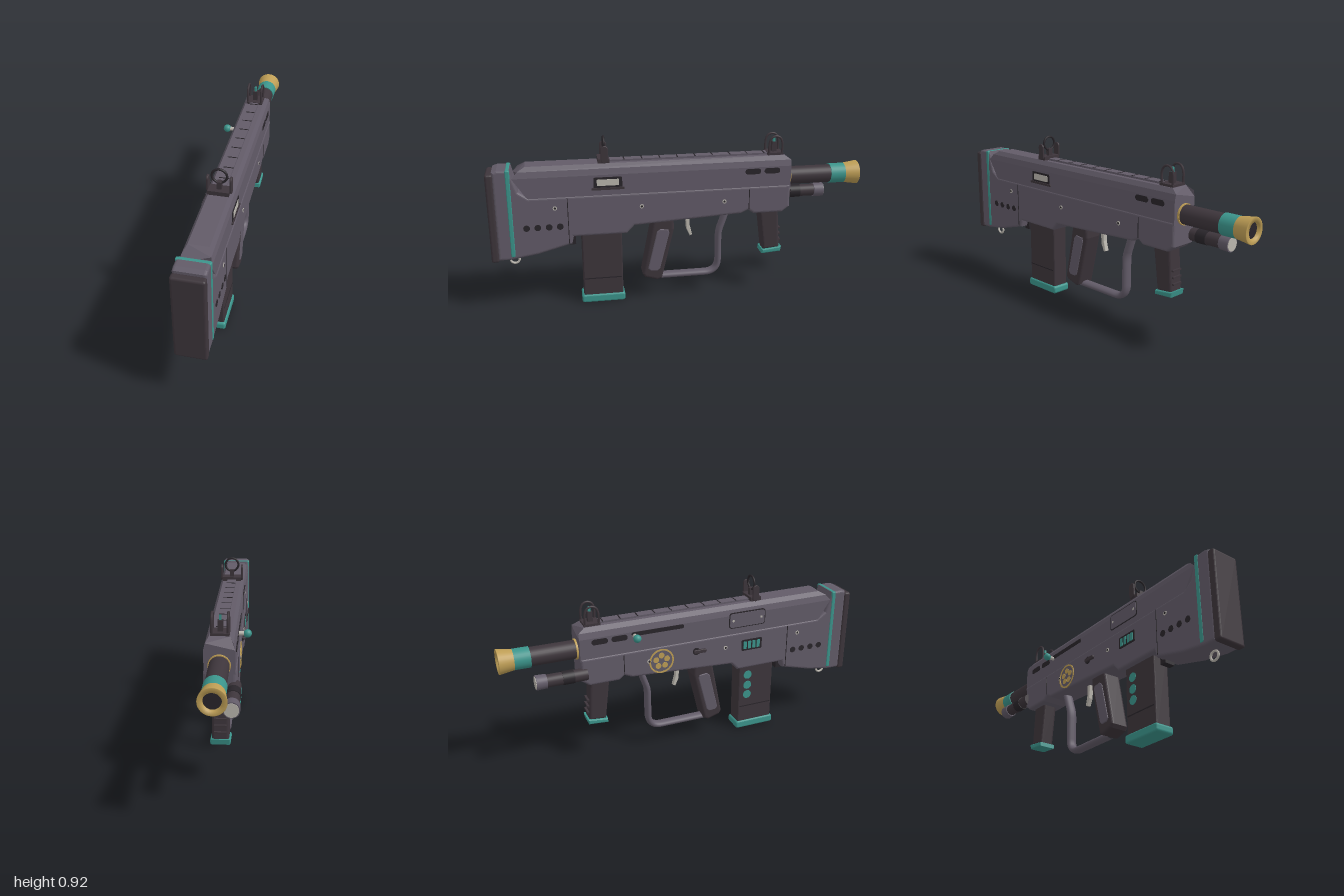
import * as THREE from 'three';

const mat = (name, color, extra = {}) => Object.assign(new THREE.MeshStandardMaterial({ color, ...extra }), { name });

export function createModel() {
  const shell = mat('shellGrey', 0x625b68);
  const dark = mat('darkGrip', 0x3d353b);
  const black = mat('recessBlack', 0x29252a);
  const teal = mat('tealAccent', 0x3b948b);
  const gold = mat('goldTrim', 0xbd9d55, { side: THREE.DoubleSide });
  const pale = mat('paleMetal', 0xbab6ae);

  const model = new THREE.Group();
  model.name = 'toyBlaster';
  const body = new THREE.Group();
  body.name = 'blaster';
  body.position.x = 0.03;
  model.add(body);

  const add = (name, geo, material, x = 0, y = 0, z = 0) => {
    const m = new THREE.Mesh(geo, material);
    m.name = name;
    m.position.set(x, y, z);
    body.add(m);
    return m;
  };
  // Outlines are drawn in (z, y) and given a width along x
  const poly = pts => new THREE.Shape(pts.map(p => new THREE.Vector2(...p)));
  const disc = (z, y, r) => new THREE.Shape().absarc(z, y, r, 0, Math.PI * 2);
  const pill = (z, y, w, h, r = Math.min(w, h) / 2 - 0.0005) => {
    const s = new THREE.Shape(), a = w / 2 - r, b = h / 2 - r, q = Math.PI / 2;
    s.absarc(z + a, y + b, r, 0, q);
    s.absarc(z - a, y + b, r, q, 2 * q);
    s.absarc(z - a, y - b, r, 2 * q, 3 * q);
    s.absarc(z + a, y - b, r, 3 * q, 4 * q);
    return s;
  };
  const slab = (name, shape, width, material, bevel = 0, x = 0) => {
    const geo = new THREE.ExtrudeGeometry(shape, {
      depth: width - 2 * bevel, bevelEnabled: bevel > 0, bevelThickness: bevel,
      bevelSize: bevel, bevelOffset: -bevel, bevelSegments: 4, curveSegments: 10,
    });
    geo.translate(0, 0, -width / 2 + bevel).rotateY(-Math.PI / 2);
    return add(name, geo, material, x);
  };
  const LOW = 0.078, UP = 0.074;
  const plate = (name, shape, material, side, half, lift = 0) =>
    slab(name, shape, 0.006, material, 0, side * (half + lift));
  const box = (name, w, h, d, material, x, y, z) => add(name, new THREE.BoxGeometry(w, h, d), material, x, y, z);
  const barrel = (name, rFront, rBack, zFront, zBack, material, x, y) =>
    add(name, new THREE.CylinderGeometry(rFront, rBack, zBack - zFront, 32).rotateX(-Math.PI / 2),
      material, x, y, (zFront + zBack) / 2);

  // Lower shell and stock
  slab('lowerShell', poly([[0.965, 0.29], [0.965, 0.77], [0.94, 0.777], [0.875, 0.775], [0.865, 0.735], [0.84, 0.66],
    [0.79, 0.625], [-0.6, 0.625], [-0.6, 0.5], [-0.56, 0.47], [-0.4, 0.47], [-0.37, 0.492], [-0.33, 0.474],
    [0.25, 0.442], [0.29, 0.4], [0.57, 0.4], [0.58, 0.36], [0.76, 0.312], [0.9, 0.29]]), LOW * 2, shell, 0.014);

  // Upper cover: one cross-section run along z with shaped ends
  const half = [[UP, 0.61], [UP, 0.73], [0.066, 0.762], [0.05, 0.785]];
  const cover = new THREE.ExtrudeGeometry(poly([...half, ...half.slice().reverse().map(([x, y]) => [-x, y])]),
    { depth: 1, bevelEnabled: false });
  const pos = cover.attributes.position;
  for (let i = 0; i < pos.count; i++) {
    const y = pos.getY(i), top = y > 0.78, mid = y > 0.75;
    const back = top ? 0.8 : mid ? 0.84 : y > 0.7 ? 0.868 : 0.79;
    pos.setZ(i, pos.getZ(i) > 0.5 ? back : top ? -0.565 : -0.6);
  }
  cover.computeVertexNormals();
  add('upperCover', cover, shell);

  // Butt pad and stock band
  slab('buttPad', pill(0.98, 0.52, 0.04, 0.478, 0.012), 0.16, dark, 0.012);
  slab('stockBand', pill(0.887, 0.542, 0.024, 0.47, 0.008), 0.162, teal, 0.006);
  add('slingRing', new THREE.TorusGeometry(0.024, 0.006, 10, 24).rotateY(Math.PI / 2), pale, 0, 0.266, 0.885);

  // Details shared by both sides
  for (const s of [-1, 1]) {
    for (const z of [-0.39, -0.495]) plate('vent', pill(z, 0.708, 0.085, 0.03), black, s, UP);
    for (const z of [0.81, 0.753, 0.695, 0.638]) plate('stockHole', disc(z, 0.463, 0.017), black, s, LOW);
    for (const [z, y] of [[0.66, 0.565], [0.21, 0.55], [-0.235, 0.55]]) {
      plate('screwHead', disc(z, y, 0.011), pale, s, LOW);
      plate('screwSlot', disc(z, y, 0.006), black, s, LOW, 0.001);
    }
    plate('stockSeam', pill(0.595, 0.49, 0.004, 0.25), black, s, LOW, -0.0015);
    plate('frontSeam', pill(-0.372, 0.555, 0.004, 0.11), black, s, LOW, -0.0015);
  }

  // Ejection port on the left
  plate('portFrame', pill(0.383, 0.687, 0.148, 0.062, 0.008), black, 1, UP);
  plate('portCover', pill(0.383, 0.69, 0.115, 0.034, 0.004), pale, 1, UP, 0.002);
  slab('portLip', pill(0.383, 0.657, 0.17, 0.012, 0.004), 0.01, dark, 0, UP + 0.003);

  // Cocking slot, knob, hatch, display and selector on the right
  plate('cockingSlot', pill(-0.18, 0.718, 0.29, 0.022), black, -1, UP);
  add('cockingRod', new THREE.CylinderGeometry(0.011, 0.011, 0.06, 16).rotateZ(Math.PI / 2), pale, -0.09, 0.71, -0.31);
  add('cockingKnob', new THREE.SphereGeometry(0.021, 24, 16), teal, -0.119, 0.71, -0.31);
  plate('hatchEdge', pill(0.34, 0.7, 0.22, 0.09, 0.018), black, -1, UP, -0.001);
  plate('hatch', pill(0.34, 0.7, 0.21, 0.08, 0.015), shell, -1, UP, 0.001);
  for (const z of [0.255, 0.425]) plate('hatchScrew', disc(z, 0.7, 0.007), pale, -1, UP, 0.002);
  plate('displayFrame', pill(0.37, 0.545, 0.125, 0.065, 0.008), black, -1, LOW);
  for (let i = 0; i < 4; i++) plate('displayBar', pill(0.329 + i * 0.027, 0.545, 0.019, 0.045, 0.003), teal, -1, LOW, 0.002);
  plate('selectorHub', disc(0.035, 0.56, 0.02), black, -1, LOW, 0.002);
  slab('selectorLever', pill(0.055, 0.56, 0.075, 0.02), 0.014, dark, 0.003, -LOW - 0.006);

  // Round gold ornament
  const rim = disc(-0.165, 0.54, 0.07);
  rim.holes.push(disc(-0.165, 0.54, 0.061));
  plate('ornamentRim', rim, gold, -1, LOW);
  for (let i = 0; i < 5; i++) {
    const a = Math.PI / 2 + i * Math.PI * 0.4;
    plate('ornamentPetal', disc(-0.165 + 0.032 * Math.cos(a), 0.54 + 0.032 * Math.sin(a), 0.016), gold, -1, LOW);
  }

  // Barrel and muzzle
  const by = 0.655;
  barrel('barrelCollar', 0.054, 0.054, -0.61, -0.59, gold, 0, by);
  barrel('barrel', 0.049, 0.049, -0.85, -0.6, dark, 0, by);
  barrel('barrelBand', 0.054, 0.054, -0.93, -0.84, teal, 0, by);
  const flare = [[0.053, 0.915], [0.055, 0.93], [0.065, 0.998], [0.063, 1], [0.042, 1], [0.038, 0.97]];
  add('muzzle', new THREE.LatheGeometry(flare.map(p => new THREE.Vector2(...p)), 32).rotateX(-Math.PI / 2), gold, 0, by);
  barrel('bore', 0.042, 0.042, -0.985, -0.9, black, 0, by);

  // Side lamp
  barrel('lampBody', 0.033, 0.033, -0.79, -0.57, dark, -0.07, 0.54);
  barrel('lampCollar', 0.036, 0.036, -0.7, -0.64, black, -0.07, 0.54);
  barrel('lampHead', 0.039, 0.037, -0.835, -0.78, shell, -0.07, 0.54);
  barrel('lampLens', 0.034, 0.034, -0.838, -0.83, pale, -0.07, 0.54);

  // Front grip
  slab('frontGrip', poly([[-0.44, 0.49], [-0.548, 0.49], [-0.565, 0.245], [-0.472, 0.24]]), 0.085, dark, 0.014);
  for (const y of [0.29, 0.325, 0.36]) box('gripRidge', 0.06, 0.009, 0.03, dark, 0, y, -0.553 - (0.36 - y) * 0.07);
  slab('frontGripCap', poly([[-0.463, 0.218], [-0.465, 0.242], [-0.575, 0.255], [-0.57, 0.226]]), 0.1, teal, 0.008);

  // Pistol grip, bow guard and trigger
  slab('pistolGrip', poly([[0.145, 0.46], [0.035, 0.46], [0.032, 0.4], [0.1, 0.115], [0.125, 0.104],
    [0.195, 0.125], [0.207, 0.145]]), 0.108, dark, 0.015);
  slab('gripPanel', poly([[0.128, 0.39], [0.11, 0.405], [0.065, 0.4], [0.06, 0.38], [0.112, 0.175], [0.128, 0.162],
    [0.165, 0.165], [0.178, 0.18]]), 0.118, shell, 0.005);
  const V = (z, y) => new THREE.Vector3(0, y, z);
  const bow = new THREE.CurvePath();
  bow.add(new THREE.LineCurve3(V(-0.262, 0.47), V(-0.235, 0.39)));
  bow.add(new THREE.QuadraticBezierCurve3(V(-0.235, 0.39), V(-0.222, 0.36), V(-0.222, 0.32)));
  bow.add(new THREE.LineCurve3(V(-0.222, 0.32), V(-0.222, 0.19)));
  bow.add(new THREE.QuadraticBezierCurve3(V(-0.222, 0.19), V(-0.222, 0.113), V(-0.145, 0.113)));
  bow.add(new THREE.LineCurve3(V(-0.145, 0.113), V(0.13, 0.113)));
  add('bowGuard', new THREE.TubeGeometry(bow, 60, 0.018, 12).scale(1.6, 1, 1), shell);
  slab('trigger', poly([[-0.035, 0.46], [-0.06, 0.46], [-0.06, 0.4], [-0.074, 0.345], [-0.06, 0.34], [-0.042, 0.38]]),
    0.026, pale, 0.004);

  // Magazine
  slab('magazine', poly([[0.53, 0.02], [0.53, 0.42], [0.315, 0.42], [0.315, 0.02]]), 0.094, dark, 0.008);
  slab('magazineBase', pill(0.423, 0.0225, 0.236, 0.045, 0.014), 0.11, teal, 0.01);
  for (const s of [-1, 1]) plate('magazineGroove', pill(0.423, 0.14, 0.2, 0.006), black, s, 0.0455);
  for (const y of [0.34, 0.275, 0.215]) plate('magazineDot', disc(0.37, y, 0.025), teal, -1, 0.047);
  box('magazineCatch', 0.06, 0.045, 0.035, black, 0, 0.362, 0.577);

  // Top rail
  box('topRail', 0.05, 0.012, 0.98, shell, 0, 0.789, -0.07);
  for (let i = 0; i < 10; i++) box('railSlot', 0.052, 0.002, 0.006, black, 0, 0.7955, -0.46 + i * 0.094);

  // Rear sight
  box('rearSightBase', 0.105, 0.022, 0.06, dark, 0, 0.797, 0.4);
  box('rearSightPost', 0.024, 0.045, 0.025, dark, 0, 0.825, 0.395);
  add('rearSightRing', new THREE.TorusGeometry(0.037, 0.006, 10, 32), black, 0, 0.877, 0.395);
  for (const s of [-1, 1]) slab('rearSightWing', pill(0.395, 0.832, 0.038, 0.09), 0.011, dark, 0.003, s * 0.057);

  // Front sight
  box('frontSightBase', 0.09, 0.014, 0.085, dark, 0, 0.79, -0.52);
  const arch = new THREE.CatmullRomCurve3([[-0.485, 0.785], [-0.485, 0.85], [-0.496, 0.876], [-0.52, 0.886],
    [-0.544, 0.876], [-0.555, 0.85], [-0.555, 0.785]].map(p => V(...p)));
  for (const s of [-1, 1]) add('frontSightArch', new THREE.TubeGeometry(arch, 40, 0.006, 8), dark, s * 0.038);
  box('frontSightPost', 0.026, 0.06, 0.026, dark, 0, 0.82, -0.52);
  box('frontSightTip', 0.012, 0.024, 0.012, teal, 0, 0.862, -0.52);

  return model;
}
